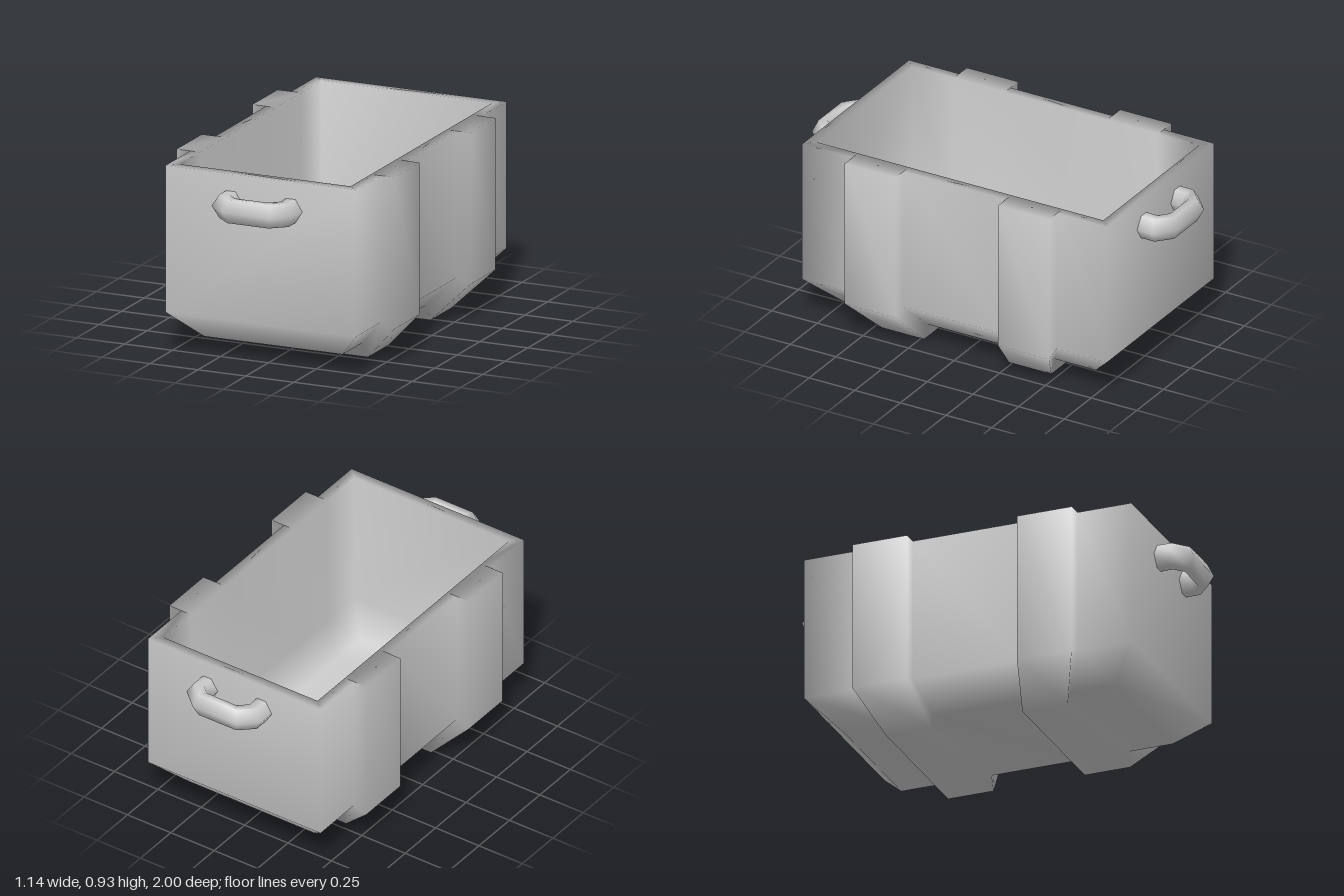
import * as THREE from 'three';
import { mergeVertices } from 'three/addons/utils/BufferGeometryUtils.js';

const material = new THREE.MeshStandardMaterial({ color: 0xcccccc });

// Collects quads (corners counter-clockwise from outside) into one welded, smooth surface
function surface() {
  const pos = [];
  const quad = (a, b, c, d) => pos.push(...a, ...b, ...c, ...a, ...c, ...d);
  const loft = (rows, closed, flip) => {
    for (let i = 0; i < rows.length - 1; i++) {
      const n = rows[i].length;
      for (let j = 0; j < (closed ? n : n - 1); j++) {
        const k = (j + 1) % n;
        const q = [rows[i][j], rows[i][k], rows[i + 1][k], rows[i + 1][j]];
        quad(...(flip ? q.reverse() : q));
      }
    }
  };
  const mesh = (name) => {
    let g = new THREE.BufferGeometry();
    g.setAttribute('position', new THREE.Float32BufferAttribute(pos, 3));
    g = mergeVertices(g, 1e-4);
    g.computeVertexNormals();
    const m = new THREE.Mesh(g, material);
    m.name = name;
    return m;
  };
  return { quad, loft, mesh };
}

const TOP = 0.93;

// U-shaped cross-section with chamfered lower corners; its bottom is pulled towards the middle
function section(z, w, shoulder, bottomW, floor, pull) {
  const half = [[w, TOP, z], [w, shoulder, z], [bottomW, floor, z * pull]];
  return [...half, ...half.map(([x, y, d]) => [-x, y, d]).reverse()];
}

// Crate with two raised bands running down the sides and underneath
function crate() {
  const s = surface();
  const plain = (z) => section(z, 0.497, 0.21, 0.36, 0.07, 0.83);
  const band = (z) => section(z, 0.568, 0.185, 0.385, 0, 0.83);
  const inside = (z) => section(z, 0.445, 0.23, 0.32, 0.12, 0.83);
  const bandZ = [0.56, 0.28];
  const outer = [plain(0.835)], inner = [inside(0.785)];
  for (const [a, b] of [bandZ, [-bandZ[1], -bandZ[0]]]) {
    outer.push(plain(a), band(a), band(b), plain(b));
    inner.push(inside(a), inside(a), inside(b), inside(b));
  }
  outer.push(plain(-0.835));
  inner.push(inside(-0.785));
  s.loft(outer, false, false);
  s.loft(inner, false, true);

  // End walls, each with a chamfer at the bottom
  const last = outer.length - 1;
  for (const [p, flip] of [[outer[0], false], [outer[last], true], [inner[0], true], [inner[last], false]]) {
    for (const ids of [[0, 5, 4, 1], [1, 4, 3, 2]]) {
      s.quad(...(flip ? ids.reverse() : ids).map((k) => p[k]));
    }
  }

  // Rim
  for (let i = 0; i < last; i++) {
    s.quad(outer[i][0], outer[i + 1][0], inner[i + 1][0], inner[i][0]);
    s.quad(outer[i][5], inner[i][5], inner[i + 1][5], outer[i + 1][5]);
  }
  s.quad(outer[0][0], inner[0][0], inner[0][5], outer[0][5]);
  s.quad(outer[last][0], outer[last][5], inner[last][5], inner[last][0]);
  return s.mesh('crate');
}

// Six-sided grab handle, bent in four places; ends are sunk into the wall
function handle(name) {
  const s = surface();
  const y = 0.788, r = 0.0575;
  const half = [
    { o: [0.217, 0.815], n: [0.095, 0.815] },
    { o: [0.217, 0.918], n: [0.095, 0.888] },
    { o: [0.125, 1.0], n: [0.068, 0.912] },
  ];
  const flipX = ([x, z]) => [-x, z];
  const stations = [...half, ...half.map(({ o, n }) => ({ o: flipX(o), n: flipX(n) })).reverse()];
  const rings = stations.map(({ o, n }) => {
    const at = (t, h) => [o[0] + (n[0] - o[0]) * t, y + h, o[1] + (n[1] - o[1]) * t];
    return [at(0, 0), at(0.3, r), at(0.7, r), at(1, 0), at(0.7, -r), at(0.3, -r)];
  });
  s.loft(rings, true, false);
  return s.mesh(name);
}

export function createModel() {
  const model = new THREE.Group();
  model.name = 'crateWithHandles';
  const back = handle('backHandle');
  back.rotation.y = Math.PI;
  model.add(crate(), handle('frontHandle'), back);
  return model;
}
